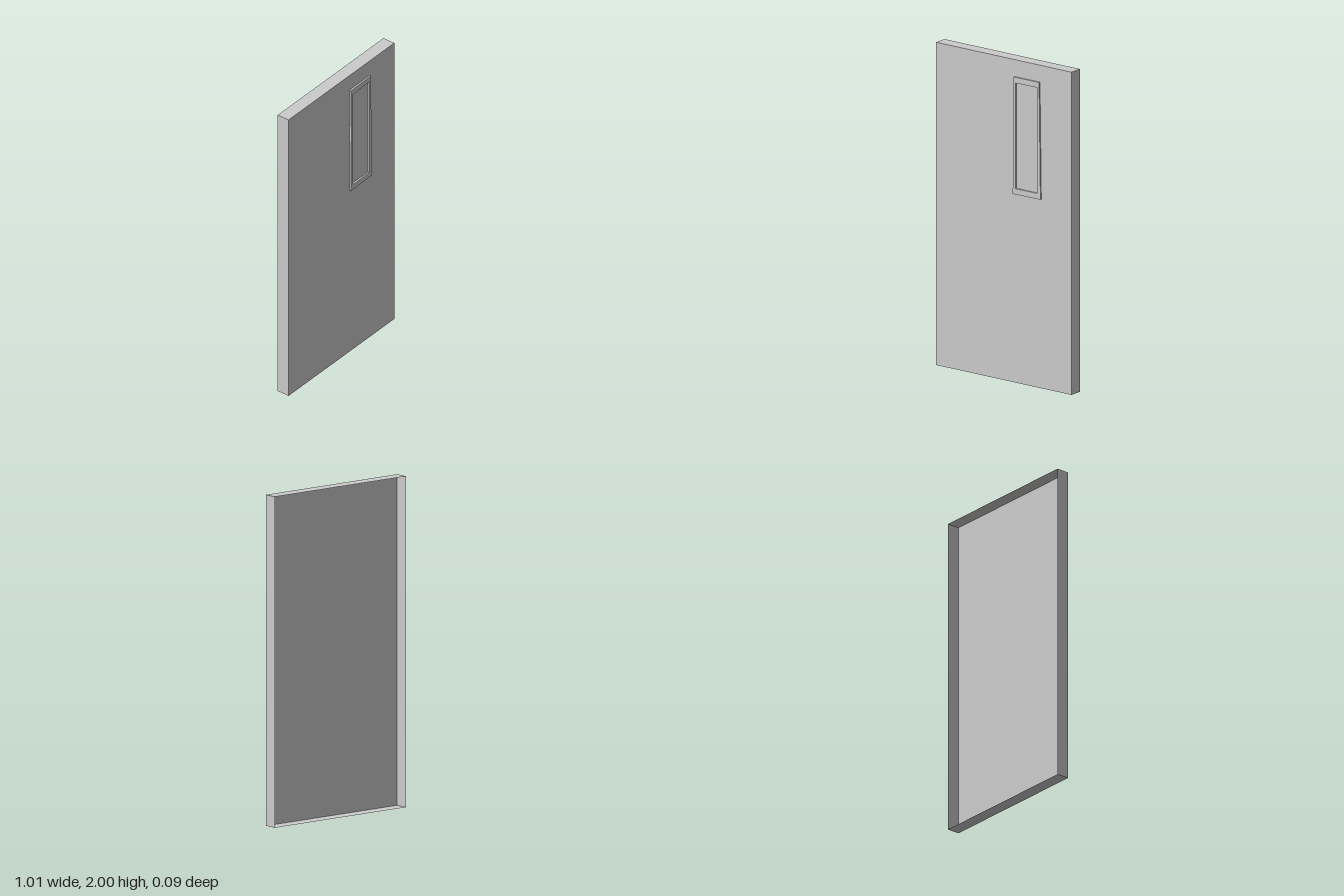
import * as THREE from 'three';

const material = new THREE.MeshStandardMaterial({
  color: 0xcccccc, flatShading: true, side: THREE.DoubleSide,
});

const BACK = -0.047, FRONT = 0.035;

// Thin-walled door shell: a box whose back face is left open
function makeDoorPanel() {
  const depth = FRONT - BACK;
  const geometry = new THREE.BoxGeometry(1.014, 2, depth);
  geometry.setIndex(Array.from(geometry.index.array).slice(0, 30));
  geometry.clearGroups();
  geometry.translate(0, 1, (FRONT + BACK) / 2);
  const mesh = new THREE.Mesh(geometry, material);
  mesh.name = 'doorPanel';
  return mesh;
}

// Slightly tapered raised trim around the window
function makeWindowFrame() {
  const points = (list) => list.map(([x, y]) => new THREE.Vector2(x, y));
  const outline = new THREE.Shape(points([[0.076, 1.17], [0.281, 1.17], [0.271, 1.895], [0.082, 1.895]]));
  outline.holes.push(new THREE.Path(points([[0.096, 1.205], [0.096, 1.86], [0.256, 1.86], [0.256, 1.205]])));
  const geometry = new THREE.ExtrudeGeometry(outline, { depth: 0.009, bevelEnabled: false });
  geometry.translate(0, 0, FRONT);

  // The left stile stands a little prouder than the right one
  const p = geometry.attributes.position;
  for (let i = 0; i < p.count; i++) {
    if (p.getZ(i) > FRONT + 0.001 && p.getX(i) < 0.1) p.setZ(i, 0.047);
  }
  geometry.computeVertexNormals();
  const mesh = new THREE.Mesh(geometry, material);
  mesh.name = 'windowFrame';
  return mesh;
}

export function createModel() {
  const door = new THREE.Group();
  door.name = 'door';
  door.add(makeDoorPanel(), makeWindowFrame());
  return door;
}
